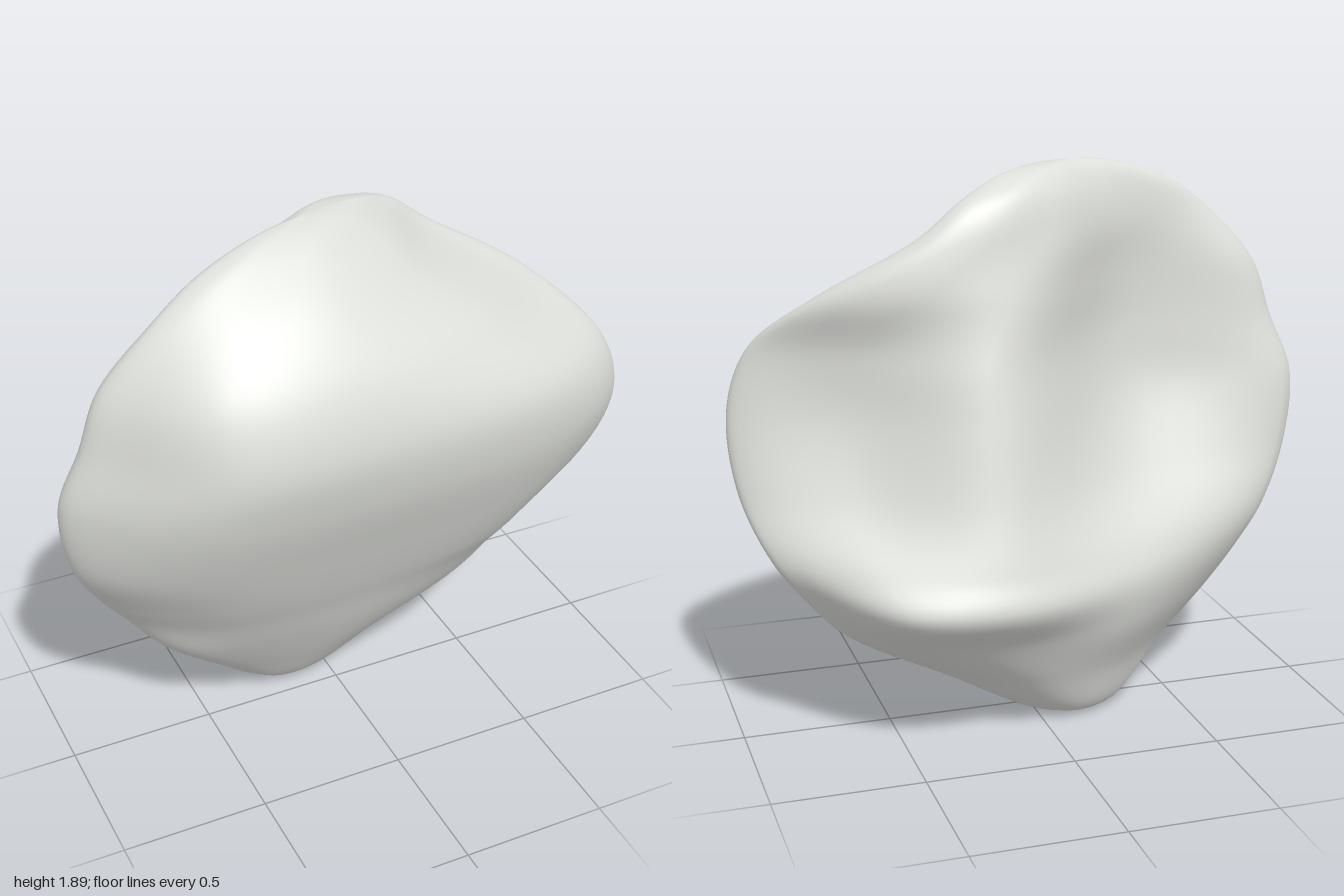
import * as THREE from 'three';
import { mergeVertices } from 'three/addons/utils/BufferGeometryUtils.js';

// Horizontal cross-sections, bottom to top:
// y, side edges (x0, z0, x1, z1), three front depths, three back depths
const SECTIONS = [
  [0.03, -0.27, -0.11, 0.02, -0.12, -0.06, -0.05, -0.07, -0.17, -0.18, -0.16],
  [0.20, -0.46, -0.04, 0.33, -0.14, 0.05, 0.07, 0.00, -0.24, -0.29, -0.25],
  [0.38, -0.66, 0.00, 0.67, -0.13, 0.15, 0.17, 0.08, -0.33, -0.40, -0.35],
  [0.53, -0.78, 0.00, 0.81, -0.14, 0.22, 0.24, 0.15, -0.35, -0.52, -0.47],
  [0.65, -0.87, 0.02, 0.90, -0.11, 0.28, 0.30, 0.22, -0.29, -0.49, -0.39],
  [0.85, -0.97, 0.08, 0.98, 0.04, 0.37, 0.39, 0.32, -0.11, -0.43, -0.23],
  [1.10, -1.00, 0.11, 0.99, 0.14, 0.46, 0.49, 0.41, 0.02, -0.37, -0.13],
  [1.30, -0.93, 0.14, 0.92, 0.13, 0.50, 0.52, 0.42, 0.04, -0.32, -0.14],
  [1.50, -0.86, 0.15, 0.72, -0.06, 0.45, 0.47, 0.32, 0.04, -0.26, -0.24],
  [1.68, -0.70, 0.16, 0.42, -0.16, 0.33, 0.35, 0.19, 0.02, -0.18, -0.24],
  [1.80, -0.53, 0.13, 0.26, -0.14, 0.21, 0.21, 0.08, 0.01, -0.13, -0.19],
  [1.87, -0.32, 0.08, 0.08, -0.05, 0.11, 0.10, 0.04, 0.01, -0.06, -0.09],
];
const BOTTOM = new THREE.Vector3(-0.13, 0, -0.11);
const TOP = new THREE.Vector3(-0.14, 1.89, 0.03);
const AROUND = 96;
const UP = 88;

// Smooth closed outline of one section: left edge, front, right edge, back
function sectionLoop([y, x0, z0, x1, z1, f0, f1, f2, b0, b1, b2]) {
  const width = x1 - x0;
  const at = (t, z) => new THREE.Vector3(x0 + width * t, y, z);
  const points = [
    at(0, z0), at(0.045, z0 + 0.06 * width), at(0.2, f0), at(0.5, f1), at(0.8, f2),
    at(0.96, z1 + 0.055 * width), at(1, z1), at(0.97, z1 - 0.045 * width),
    at(0.82, b2), at(0.6, b1), at(0.32, b0), at(0.03, z0 - 0.04 * width),
  ];
  const curve = new THREE.CatmullRomCurve3(points, true, 'centripetal');
  return Array.from({ length: AROUND }, (_, i) => curve.getPoint(i / AROUND));
}

// Skin running up through all sections, closed at both ends
function boulderGeometry() {
  const loops = SECTIONS.map(sectionLoop);
  const positions = [];
  const index = [];
  for (let i = 0; i < AROUND; i++) {
    const column = [BOTTOM, ...loops.map((loop) => loop[i]), TOP];
    const curve = new THREE.CatmullRomCurve3(column, false, 'centripetal');
    for (let j = 0; j <= UP; j++) {
      const p = curve.getPoint(j / UP);
      positions.push(p.x, Math.max(0, p.y), p.z);
    }
  }
  const id = (i, j) => (i % AROUND) * (UP + 1) + j;
  for (let i = 0; i < AROUND; i++) {
    for (let j = 0; j < UP; j++) {
      const a = id(i, j), b = id(i + 1, j), c = id(i + 1, j + 1), d = id(i, j + 1);
      // single triangles at the two poles
      if (j > 0) index.push(a, b, c);
      if (j < UP - 1) index.push(a, c, d);
    }
  }
  const geometry = new THREE.BufferGeometry();
  geometry.setAttribute('position', new THREE.Float32BufferAttribute(positions, 3));
  geometry.setIndex(index);
  const merged = mergeVertices(geometry, 1e-5);
  merged.computeVertexNormals();
  return merged;
}

export function createModel() {
  const stone = new THREE.MeshStandardMaterial({ color: 0xdddfda });
  stone.name = 'pale grey stone';

  const group = new THREE.Group();
  group.name = 'rock';
  const boulder = new THREE.Mesh(boulderGeometry(), stone);
  boulder.name = 'boulder';
  group.add(boulder);
  return group;
}
